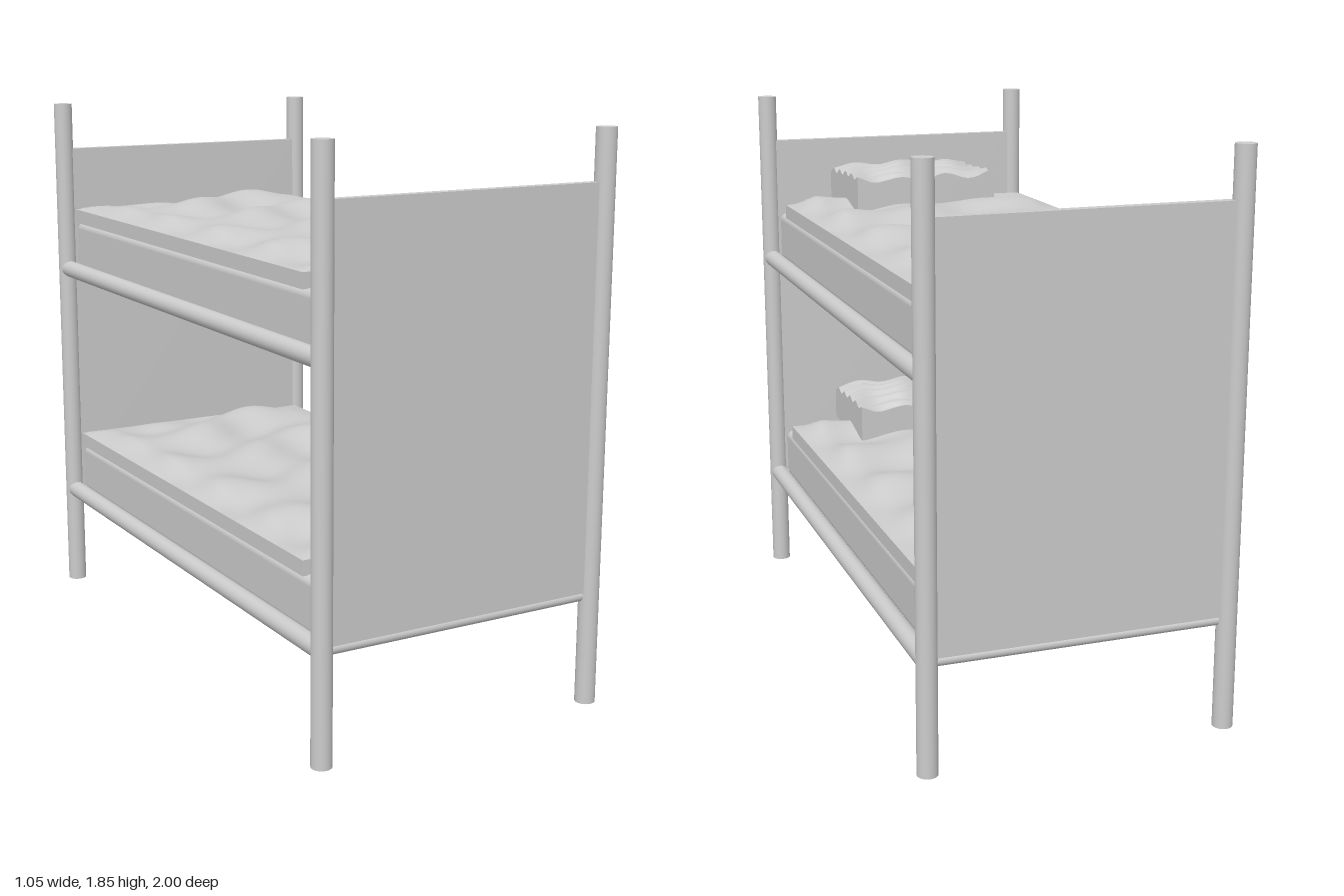
import * as THREE from 'three';
import { RoundedBoxGeometry } from 'three/addons/geometries/RoundedBoxGeometry.js';

const material = new THREE.MeshStandardMaterial({ color: 0xcccccc });
const POST_X = 0.492, POST_Z = 0.967;

function add(parent, name, geometry, x, y, z) {
  const mesh = new THREE.Mesh(geometry, material);
  mesh.name = name;
  mesh.position.set(x, y, z);
  parent.add(mesh);
  return mesh;
}

// Box whose upper and lower faces are displaced by height functions of x and z
function softSlab(w, h, d, nx, ny, nz, top, bottom = () => 0) {
  const g = new THREE.BoxGeometry(w, h, d, nx, ny, nz);
  const p = g.attributes.position;
  for (let i = 0; i < p.count; i++) {
    const x = p.getX(i), z = p.getZ(i), t = p.getY(i) / h + 0.5;
    p.setY(i, p.getY(i) + t * t * top(x, z) + (1 - t) * (1 - t) * bottom(x, z));
  }
  g.computeVertexNormals();
  return g;
}

// Gentle folds that fade towards the hem of the blanket
function blanketFolds(x, z) {
  const fade = Math.min(1, (0.465 - Math.abs(x)) / 0.09, (0.87 - Math.abs(z)) / 0.1);
  const fold = Math.sin(z * 17 + x * 5 + 0.7 * Math.sin(x * 12));
  const ripple = Math.sin(x * 15 + z * 6) * Math.sin(z * 9 - x * 4);
  return Math.max(0, fade) * (0.024 + 0.013 * fold + 0.015 * ripple);
}

// Tighter wrinkles across the pillow
function pillowFolds(x, z) {
  const wave = Math.sin(z * 75 + x * 10 + 1.2 * Math.sin(x * 26));
  const crown = Math.max(0, (1 - (x / 0.265) ** 2) * (1 - (z / 0.19) ** 2));
  return 0.008 * wave + 0.006 * Math.sin(x * 34 + z * 12) + 0.022 * crown;
}

function createBunk(y) {
  const bunk = new THREE.Group();
  bunk.name = 'bunk';
  bunk.position.y = y;

  // Frame
  for (const s of [-1, 1]) {
    const side = add(bunk, 'sideRail', new THREE.CylinderGeometry(0.03, 0.03, 1.9, 20), s * POST_X, 0, 0);
    side.rotation.x = Math.PI / 2;
    const end = add(bunk, 'endRail', new THREE.CylinderGeometry(0.018, 0.018, 0.96, 20), 0, -0.003, s * 0.96);
    end.rotation.z = Math.PI / 2;
  }
  add(bunk, 'baseBoard', new THREE.BoxGeometry(0.96, 0.02, 1.9), 0, -0.005, 0);

  // Bedding
  add(bunk, 'mattress', new RoundedBoxGeometry(0.93, 0.18, 1.866, 4, 0.025), 0, 0.088, 0);
  add(bunk, 'blanket',
    softSlab(0.935, 0.05, 1.74, 44, 2, 90, blanketFolds), 0, 0.2, -0.06);
  const pillow = softSlab(0.525, 0.155, 0.385, 48, 6, 60, pillowFolds,
    (x, z) => 0.02 * (x / 0.2625) ** 2 + 0.01 * Math.sin(x * 22 + z * 8));
  add(bunk, 'pillow', pillow, 0, 0.267, 0.728);
  return bunk;
}

export function createModel() {
  const bed = new THREE.Group();
  bed.name = 'bunkBed';

  // Corner posts
  for (const x of [-POST_X, POST_X])
    for (const z of [-POST_Z, POST_Z])
      add(bed, 'post', new THREE.CylinderGeometry(0.033, 0.033, 1.845, 24), x, 0.9225, z);

  // Head and foot panels
  for (const s of [-1, 1])
    add(bed, s > 0 ? 'headPanel' : 'footPanel',
      new THREE.BoxGeometry(0.95, 1.305, 0.034), 0, 1.0275, s * 0.962);

  // Lower and upper bunks
  for (const y of [0.365, 1.23]) bed.add(createBunk(y));
  return bed;
}
